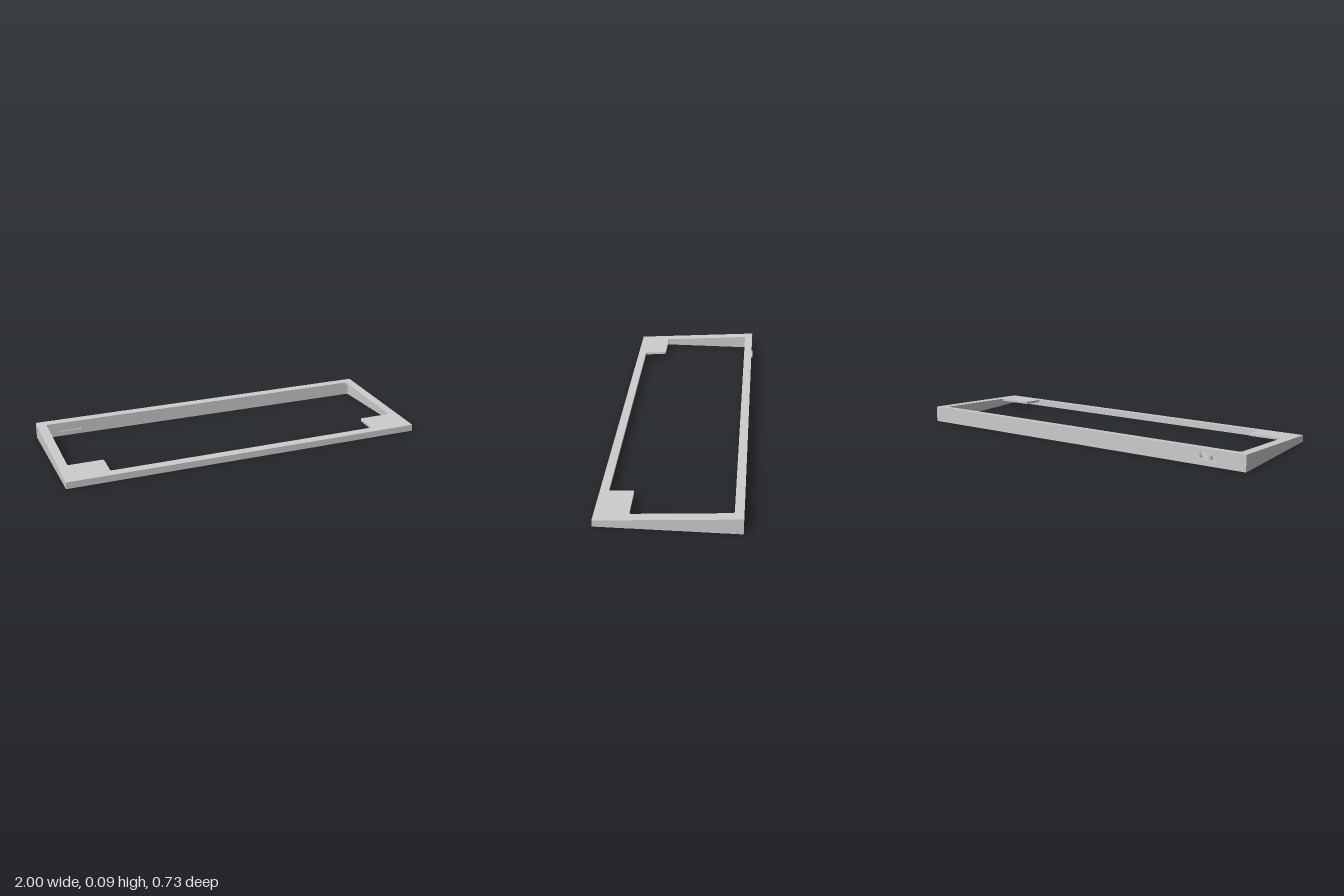
import * as THREE from 'three';

const FRONT = 0.363, BACK = -0.356, WALL = 0.03, LIP = 0.013;
const mat = new THREE.MeshStandardMaterial({ color: 0xcccccc });

// Height of the sloping top at depth z
const topAt = (z) => THREE.MathUtils.mapLinear(z, FRONT, BACK, 0.036, 0.087);

// Closed outline whose corners are rounded by r
function outline(points, r, Type = THREE.Shape) {
  const path = new Type();
  const pts = points.map(([x, y]) => new THREE.Vector2(x, y));
  pts.forEach((p, i) => {
    const prev = pts[(i + pts.length - 1) % pts.length];
    const next = pts[(i + 1) % pts.length];
    const a = p.clone().add(prev.clone().sub(p).setLength(r));
    const b = p.clone().add(next.clone().sub(p).setLength(r));
    if (i === 0) path.moveTo(a.x, a.y); else path.lineTo(a.x, a.y);
    path.quadraticCurveTo(p.x, p.y, b.x, b.y);
  });
  path.closePath();
  return path;
}

const rect = (x0, x1, y0, y1) => [[x0, y0], [x1, y0], [x1, y1], [x0, y1]];

function moveVertices(geo, rule) {
  const pos = geo.attributes.position, v = new THREE.Vector3();
  for (let i = 0; i < pos.count; i++) {
    rule(v.fromBufferAttribute(pos, i));
    pos.setXYZ(i, v.x, v.y, v.z);
  }
  geo.computeVertexNormals();
  return geo;
}

// Plan outline (x, -z) raised between two heights that depend on z
function planSolid(shape, low, high) {
  const geo = new THREE.ExtrudeGeometry(shape, { depth: 1, bevelEnabled: false, curveSegments: 6 });
  geo.rotateX(-Math.PI / 2);
  return moveVertices(geo, (v) => { v.y = v.y > 0.5 ? high(v.z) : low(v.z); });
}

// Upright outline (x, y) extruded from z0 to z1
function uprightSolid(shape, z0, z1) {
  const geo = new THREE.ExtrudeGeometry(shape, { depth: z1 - z0, bevelEnabled: false, curveSegments: 8 });
  return geo.translate(0, 0, z0);
}

export function createModel() {
  const model = new THREE.Group();
  const add = (name, geo, parent = model) => {
    const mesh = new THREE.Mesh(geo, mat);
    mesh.name = name;
    parent.add(mesh);
  };
  const under = (z) => topAt(z) - LIP;

  // Sloping top frame with its stepped opening
  const frame = outline(rect(-1, 1, -FRONT, -BACK), 0.003);
  const half = [[0.76, -0.317], [0.76, -0.19], [0.95, -0.19], [0.95, 0.31]];
  const mirrored = half.map(([x, y]) => [-x, y]).reverse();
  frame.holes.push(outline([...half, ...mirrored], 0.012, THREE.Path));
  add('topFrame', planSolid(frame, under, topAt));

  // Front and side walls in one U
  const inner = 1 - WALL, back = -BACK - WALL;
  const walls = outline([
    [-1, -FRONT], [1, -FRONT], [1, back], [inner, back],
    [inner, -FRONT + WALL], [-inner, -FRONT + WALL], [-inner, back], [-1, back],
  ], 0.002);
  add('frontAndSideWalls', planSolid(walls, () => 0, under));

  // Back wall with the port recess
  const backShape = new THREE.Shape(rect(-1, 1, 0, 0.08).map((p) => new THREE.Vector2(...p)));
  const recess = rect(-0.882, -0.752, 0.026, 0.065);
  backShape.holes.push(outline(recess, 0.0165, THREE.Path));
  add('backWall', moveVertices(uprightSolid(backShape, BACK, BACK + WALL), (v) => {
    if (v.y > 0.07) v.y = under(v.z);
  }));
  add('recessFloor', uprightSolid(outline(recess, 0.0165), BACK + 0.008, BACK + WALL - 0.008));

  // Hollow connector with a tongue
  const port = new THREE.Group();
  port.name = 'port';
  model.add(port);
  const shell = outline(rect(-0.817, -0.756, 0.03, 0.06), 0.0145);
  shell.holes.push(outline(rect(-0.812, -0.761, 0.035, 0.055), 0.0095, THREE.Path));
  add('portShell', uprightSolid(shell, -0.363, BACK + 0.01), port);
  const tongue = new THREE.BoxGeometry(0.036, 0.006, 0.014);
  add('portTongue', tongue.translate(-0.7865, 0.045, -0.353), port);

  return model;
}
